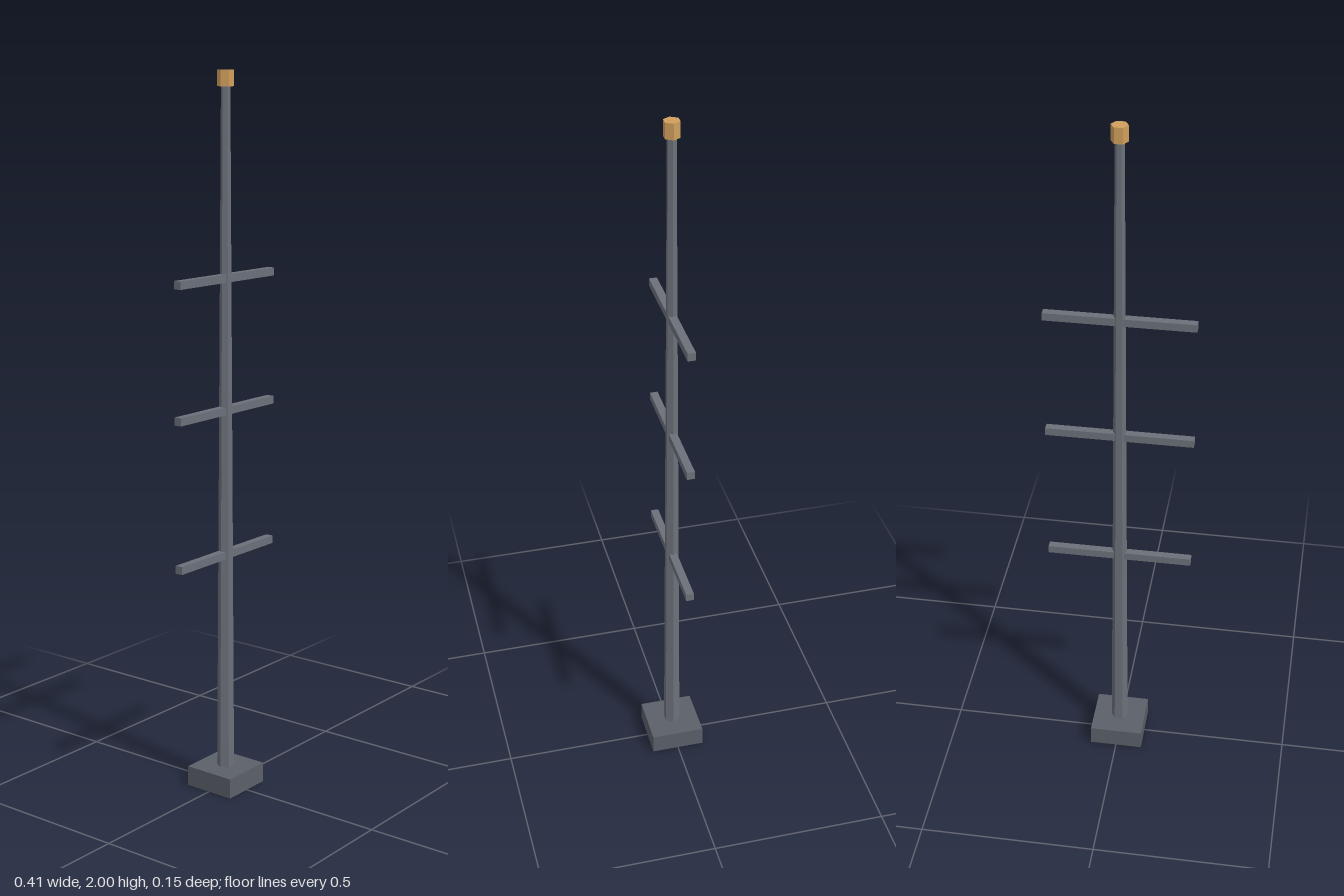
import * as THREE from 'three';

export function createModel() {
  const model = new THREE.Group();
  const paint = (color) => new THREE.MeshStandardMaterial({ color, flatShading: true });
  const steel = paint(0x6b7079);
  const darkSteel = paint(0x5a6069);
  const brass = paint(0xd09f5c);

  const add = (name, geometry, material, y) => {
    const mesh = new THREE.Mesh(geometry, material);
    mesh.name = name;
    mesh.position.y = y;
    model.add(mesh);
    return mesh;
  };
  // Six-sided post with corners pointing along x
  const hexPost = (top, bottom, height) =>
    new THREE.CylinderGeometry(top, bottom, height, 6).rotateY(Math.PI / 6);

  // Square foot
  add('base', new THREE.BoxGeometry(0.153, 0.057, 0.153), darkSteel, 0.0285);

  // Tapered mast
  const mastBottom = 0.03, mastTop = 1.98;
  add('mast', hexPost(0.0125, 0.0245, mastTop - mastBottom), steel, (mastBottom + mastTop) / 2);

  // Three equal crossbars
  for (const y of [0.682, 1.09, 1.452]) {
    add('crossbar', new THREE.BoxGeometry(0.408, 0.022, 0.022), steel, y);
  }

  // Cap on the mast top
  add('cap', hexPost(0.0225, 0.0225, 0.043), brass, 1.9785);

  return model;
}
